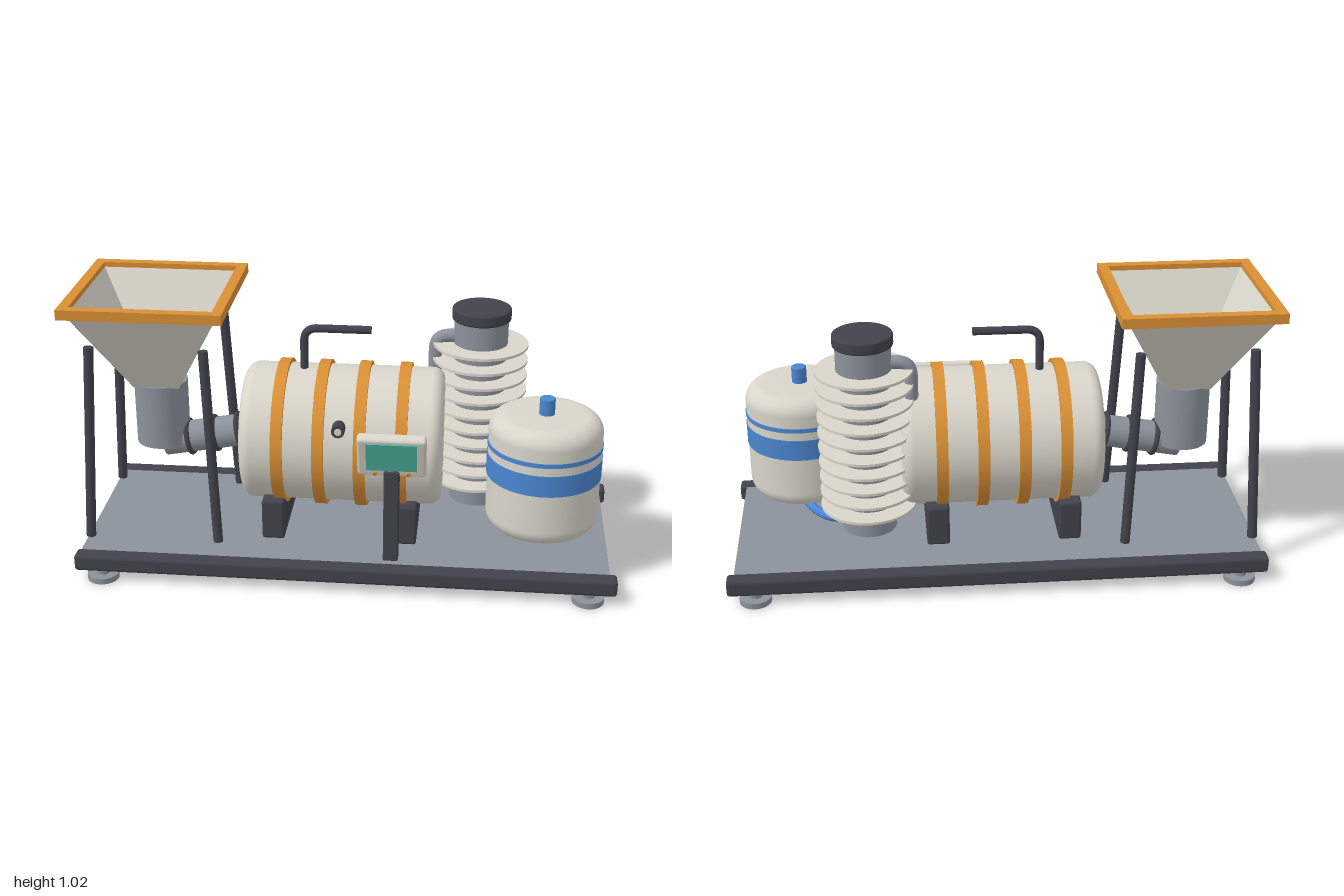
import * as THREE from 'three';
import { RoundedBoxGeometry } from 'three/addons/geometries/RoundedBoxGeometry.js';

const mat = (name, color, side = THREE.FrontSide) => {
  const m = new THREE.MeshStandardMaterial({ color, side });
  m.name = name;
  return m;
};

export function createModel() {
  const root = new THREE.Group();
  root.name = 'processingSkid';
  const cream = mat('cream', 0xd9d5ca);
  const grey = mat('steelGrey', 0x8c929c);
  const dark = mat('darkFrame', 0x42424c);
  const orange = mat('orange', 0xda9035);
  const blue = mat('blue', 0x4a86d0);
  const teal = mat('tealScreen', 0x4fb8a4);

  const add = (name, geo, material, x = 0, y = 0, z = 0, parent = root) => {
    const m = new THREE.Mesh(geo, material);
    m.name = name;
    m.position.set(x, y, z);
    parent.add(m);
    return m;
  };
  const box = (w, h, d, r = 0.01) => new RoundedBoxGeometry(w, h, d, 2, r);
  const cyl = (r, h, n = 40) => new THREE.CylinderGeometry(r, r, h, n);
  const V = (x, y, z) => new THREE.Vector3(x, y, z);
  // straight bar between two points
  const bar = (name, a, b, r, material, n = 32) => {
    const mid = a.clone().add(b).multiplyScalar(0.5);
    const m = add(name, cyl(r, a.distanceTo(b), n), material, mid.x, mid.y, mid.z);
    m.quaternion.setFromUnitVectors(V(0, 1, 0), b.clone().sub(a).normalize());
    return m;
  };
  // pipe with one rounded elbow
  const elbow = (name, a, corner, b, bend, r, material) => {
    const p = corner.clone().add(a.clone().sub(corner).setLength(bend));
    const q = corner.clone().add(b.clone().sub(corner).setLength(bend));
    const path = new THREE.CurvePath();
    path.add(new THREE.LineCurve3(a, p));
    path.add(new THREE.QuadraticBezierCurve3(p, corner, q));
    path.add(new THREE.LineCurve3(q, b));
    add(name, new THREE.TubeGeometry(path, 40, r, 14), material);
    for (const [end, dir] of [[a, a.clone().sub(p)], [b, b.clone().sub(q)]]) {
      const cap = add(name + 'End', new THREE.CircleGeometry(r, 14), material, end.x, end.y, end.z);
      cap.quaternion.setFromUnitVectors(V(0, 0, 1), dir.normalize());
    }
  };
  // cylinder along y with rounded shoulders
  const vessel = (r, h, c, n = 48) => {
    const pts = [new THREE.Vector2(0, -h / 2)];
    for (let i = 0; i <= 8; i++) {
      const a = (i / 8) * Math.PI / 2;
      pts.push(new THREE.Vector2(r - c + c * Math.sin(a), -h / 2 + c - c * Math.cos(a)));
    }
    const top = pts.map(p => new THREE.Vector2(p.x, -p.y)).reverse();
    return new THREE.LatheGeometry([...pts, ...top], n);
  };
  // short open band standing proud of a vessel
  const band = (inner, outer, h, n = 48) => new THREE.LatheGeometry([
    [inner, -h / 2], [outer, -h / 2], [outer, -h / 2], [outer, h / 2], [outer, h / 2], [inner, h / 2],
  ].map(p => new THREE.Vector2(...p)), n);

  // Base frame, deck and feet
  add('deck', new THREE.BoxGeometry(1.94, 0.014, 0.7), grey, 0.005, 0.09, 0);
  for (const s of [-1, 1]) {
    add('sideRail', box(1.98, 0.062, 0.064, 0.012), dark, 0.01, 0.07, s * 0.364);
    for (const x of [-0.88, 0.9]) {
      add('foot', cyl(0.058, 0.022), grey, x, 0.012, s * 0.362);
      add('footStem', cyl(0.025, 0.03, 20), grey, x, 0.032, s * 0.362);
    }
  }
  for (let i = 0; i < 6; i++) {
    add('crossMember', new THREE.BoxGeometry(0.045, 0.043, 0.68), dark, -0.94 + i * 0.379, 0.0625, 0);
  }

  // Hopper: square funnel with an orange rim
  const hx = -0.708;
  const square = h => [[-h, -h], [h, -h], [h, h], [-h, h]].map(p => new THREE.Vector2(...p));
  const rimShape = new THREE.Shape(square(0.293));
  rimShape.holes.push(new THREE.Path(square(0.255)));
  const rim = add('hopperRim', new THREE.ExtrudeGeometry(rimShape, { depth: 0.037, bevelEnabled: false }), orange, hx, 0.984, 0);
  rim.rotation.x = -Math.PI / 2;
  const funnel = (topHalf, botHalf, h) =>
    new THREE.CylinderGeometry(topHalf * Math.SQRT2, botHalf * Math.SQRT2, h, 4, 1, true)
      .rotateY(Math.PI / 4).toNonIndexed();
  const outer = funnel(0.267, 0.085, 0.34);
  outer.computeVertexNormals();
  add('funnelOutside', outer, cream, hx, 0.822, 0);
  const inner = funnel(0.255, 0.057, 0.345);
  inner.scale(-1, 1, 1); // mirrored so the faces look inwards
  inner.computeVertexNormals();
  add('funnelInside', inner, cream, hx, 0.8295, 0);
  add('hopperOutlet', cyl(0.1, 0.246), grey, hx, 0.533, 0);
  for (const sx of [-1, 1]) for (const sz of [-1, 1]) {
    bar('hopperLeg', V(hx + sx * 0.242, 0.11, sz * 0.247), V(hx + sx * 0.207, 0.855, sz * 0.21), 0.018, dark, 10);
  }

  // Sloping feed pipe with clamp rings
  const fa = V(-0.7, 0.405, 0), fb = V(-0.36, 0.468, 0);
  bar('feedPipe', fa, fb, 0.06, grey);
  for (const t of [0.28, 0.57, 0.84]) {
    const p = fa.clone().lerp(fb, t);
    const ring = add('feedClamp', new THREE.TorusGeometry(0.062, 0.01, 8, 32), dark, p.x, p.y, p.z);
    ring.quaternion.setFromUnitVectors(V(0, 0, 1), fb.clone().sub(fa).normalize());
  }

  // Horizontal drum, hoops and saddles
  const drum = new THREE.Group();
  drum.name = 'drum';
  drum.position.set(-0.015, 0.466, 0);
  drum.rotation.z = -Math.PI / 2;
  root.add(drum);
  add('drumShell', vessel(0.256, 0.74, 0.045), cream, 0, 0, 0, drum);
  for (const x of [-0.24, -0.09, 0.06, 0.21]) {
    add('drumHoop', band(0.25, 0.272, 0.042, 28), orange, 0, x + 0.015, 0, drum);
  }
  for (const x of [-0.262, 0.228]) add('drumSaddle', box(0.084, 0.155, 0.445), dark, x, 0.195, 0);
  elbow('ventPipe', V(-0.165, 0.7, 0), V(-0.165, 0.877, 0), V(0.082, 0.877, 0), 0.05, 0.015, dark);
  const gauge = add('gauge', cyl(0.024, 0.05, 24), dark, -0.015, 0.585, 0.238);
  gauge.rotation.x = Math.PI / 2;
  const dial = add('gaugeDial', cyl(0.013, 0.004, 24), cream, -0.015, 0.585, 0.265);
  dial.rotation.x = Math.PI / 2;

  // Control panel on a post
  add('panelPost', box(0.055, 0.36, 0.056, 0.006), dark, 0.183, 0.29, 0.308);
  const panel = new THREE.Group();
  panel.name = 'controlPanel';
  panel.position.set(0.183, 0.532, 0.322);
  panel.rotation.x = 0.3;
  root.add(panel);
  add('panelCase', box(0.245, 0.17, 0.045, 0.012), cream, 0, 0, 0, panel);
  add('panelScreen', new THREE.BoxGeometry(0.18, 0.122, 0.006), teal, 0, 0.008, 0.0235, panel);
  for (const x of [-0.06, 0, 0.06]) {
    const b = add('panelButton', cyl(0.008, 0.009, 16), orange, x, -0.068, 0.0255, panel);
    b.rotation.x = Math.PI / 2;
  }

  // Finned column with cap and elbow to the drum
  const cx = 0.48, cz = -0.125;
  add('column', cyl(0.1, 0.73), grey, cx, 0.53, cz);
  add('columnCap', vessel(0.109, 0.046, 0.008), dark, cx, 0.913, cz);
  for (let i = 0; i < 10; i++) {
    add('coolingFin', cyl(0.176, 0.01, 48), cream, cx, 0.263 + i * 0.059, cz);
  }
  elbow('columnElbow', V(0.312, 0.66, cz), V(0.312, 0.82, cz), V(0.42, 0.82, cz), 0.055, 0.025, grey);

  // Storage tank with blue bands and cap
  const tx = 0.725, tz = 0.148;
  add('tank', vessel(0.205, 0.44, 0.06), cream, tx, 0.419, tz);
  add('tankWideBand', band(0.2, 0.208, 0.08), blue, tx, 0.448, tz);
  add('tankNarrowBand', band(0.2, 0.208, 0.016), blue, tx, 0.528, tz);
  add('tankCap', vessel(0.028, 0.075, 0.006, 28), blue, tx, 0.664, tz);

  // Blue hose from column to tank
  const hose = new THREE.CatmullRomCurve3([
    V(0.54, 0.2, -0.125), V(0.62, 0.2, -0.12), V(0.68, 0.2, -0.06), V(0.72, 0.205, 0.03), V(0.725, 0.215, 0.1),
  ]);
  add('transferHose', new THREE.TubeGeometry(hose, 32, 0.017, 14), blue);

  return root;
}
